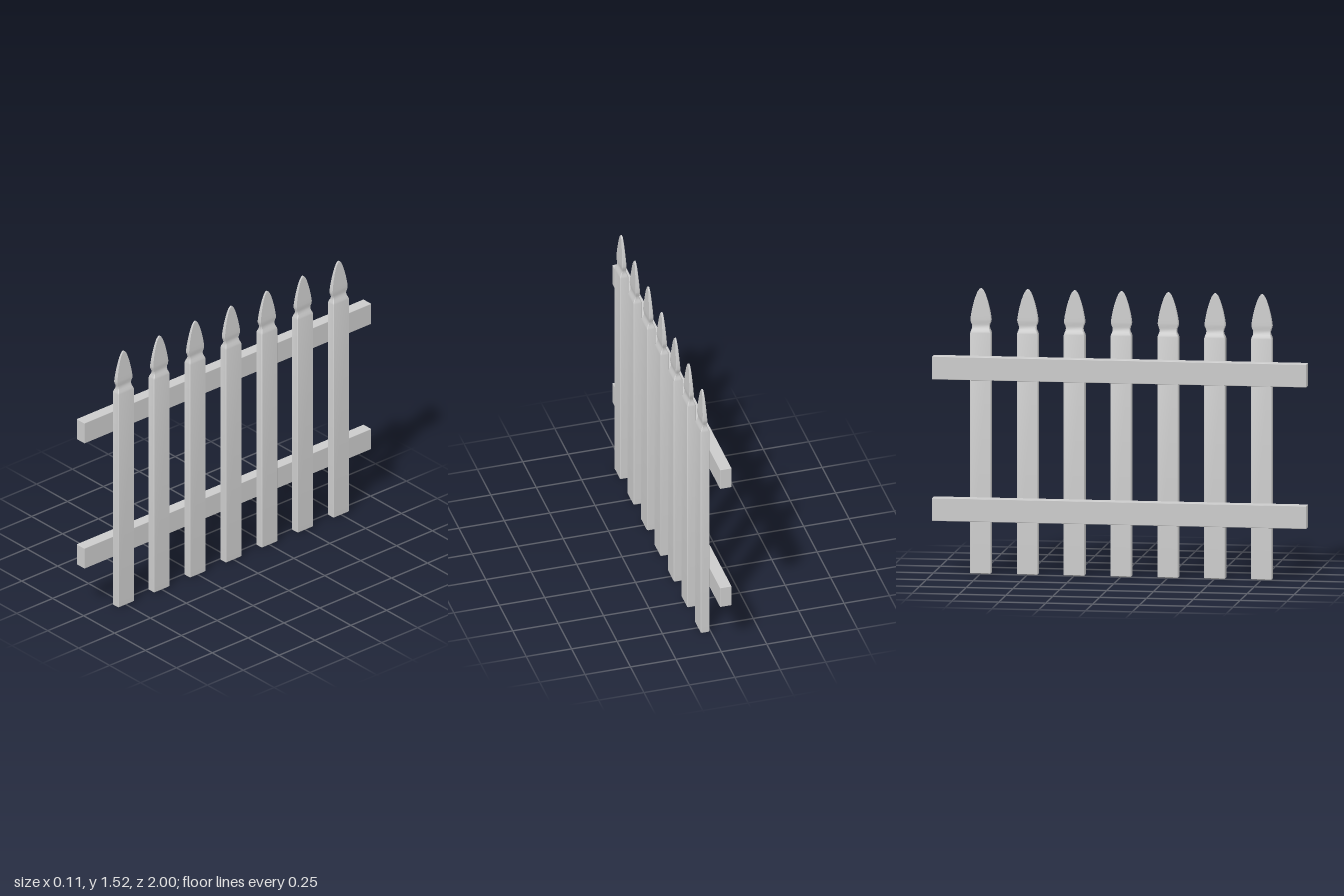
import * as THREE from 'three';
import { toCreasedNormals } from 'three/addons/utils/BufferGeometryUtils.js';
import { RoundedBoxGeometry } from 'three/addons/geometries/RoundedBoxGeometry.js';

// Picket cross-sections from the foot up: [height, half width (z), half depth (x)]
const SECTIONS = [
  [0, 0.053, 0.021], [0.004, 0.056, 0.024], [1.283, 0.056, 0.024], [1.293, 0.053, 0.021],
  [1.305, 0.048, 0.016], [1.318, 0.046, 0.011], [1.33, 0.049, 0.011], [1.345, 0.055, 0.013],
  [1.357, 0.056, 0.013], [1.385, 0.052, 0.0115], [1.42, 0.045, 0.0097], [1.455, 0.036, 0.008],
  [1.485, 0.026, 0.0065], [1.505, 0.017, 0.0053], [1.517, 0.008, 0.0045], [1.521, 0.002, 0.003],
];

// Rectangle with chamfered corners, counter-clockwise seen from above
function ring([y, w, d]) {
  const c = Math.min(0.004, w * 0.3, d * 0.3);
  return [
    [d - c, w], [d, w - c], [d, c - w], [d - c, -w],
    [c - d, -w], [-d, c - w], [-d, w - c], [c - d, w],
  ].map(([x, z]) => [x, y, z]);
}

// Skin the cross-sections and close both ends
function loft(sections) {
  const rings = sections.map(ring);
  const n = rings[0].length;
  const pos = [];
  const tri = (a, b, c) => pos.push(...a, ...b, ...c);
  for (let i = 0; i < rings.length - 1; i++) {
    for (let j = 0; j < n; j++) {
      const k = (j + 1) % n;
      const [lo, hi] = [rings[i], rings[i + 1]];
      tri(lo[j], lo[k], hi[k]);
      tri(lo[j], hi[k], hi[j]);
    }
  }
  const foot = rings[0], tip = rings[rings.length - 1];
  for (let j = 1; j < n - 1; j++) {
    tri(foot[0], foot[j + 1], foot[j]);
    tri(tip[0], tip[j], tip[j + 1]);
  }
  const geo = new THREE.BufferGeometry();
  geo.setAttribute('position', new THREE.Float32BufferAttribute(pos, 3));
  return toCreasedNormals(geo, Math.PI / 6);
}

export function createModel() {
  const fence = new THREE.Group();
  fence.name = 'picketFence';
  const material = new THREE.MeshStandardMaterial({ color: 0xcccccc });

  // Seven evenly spaced pickets
  const picketGeo = loft(SECTIONS);
  for (let i = -3; i <= 3; i++) {
    const picket = new THREE.Mesh(picketGeo, material);
    picket.name = `picket${i + 4}`;
    picket.position.set(0.031, 0, i * 0.25);
    fence.add(picket);
  }

  // Two rails behind the pickets
  const railGeo = new RoundedBoxGeometry(0.064, 0.123, 2, 1, 0.003);
  for (const [name, y] of [['lowerRail', 0.347], ['upperRail', 1.102]]) {
    const rail = new THREE.Mesh(railGeo, material);
    rail.name = name;
    rail.position.set(-0.025, y, 0);
    fence.add(rail);
  }
  return fence;
}
